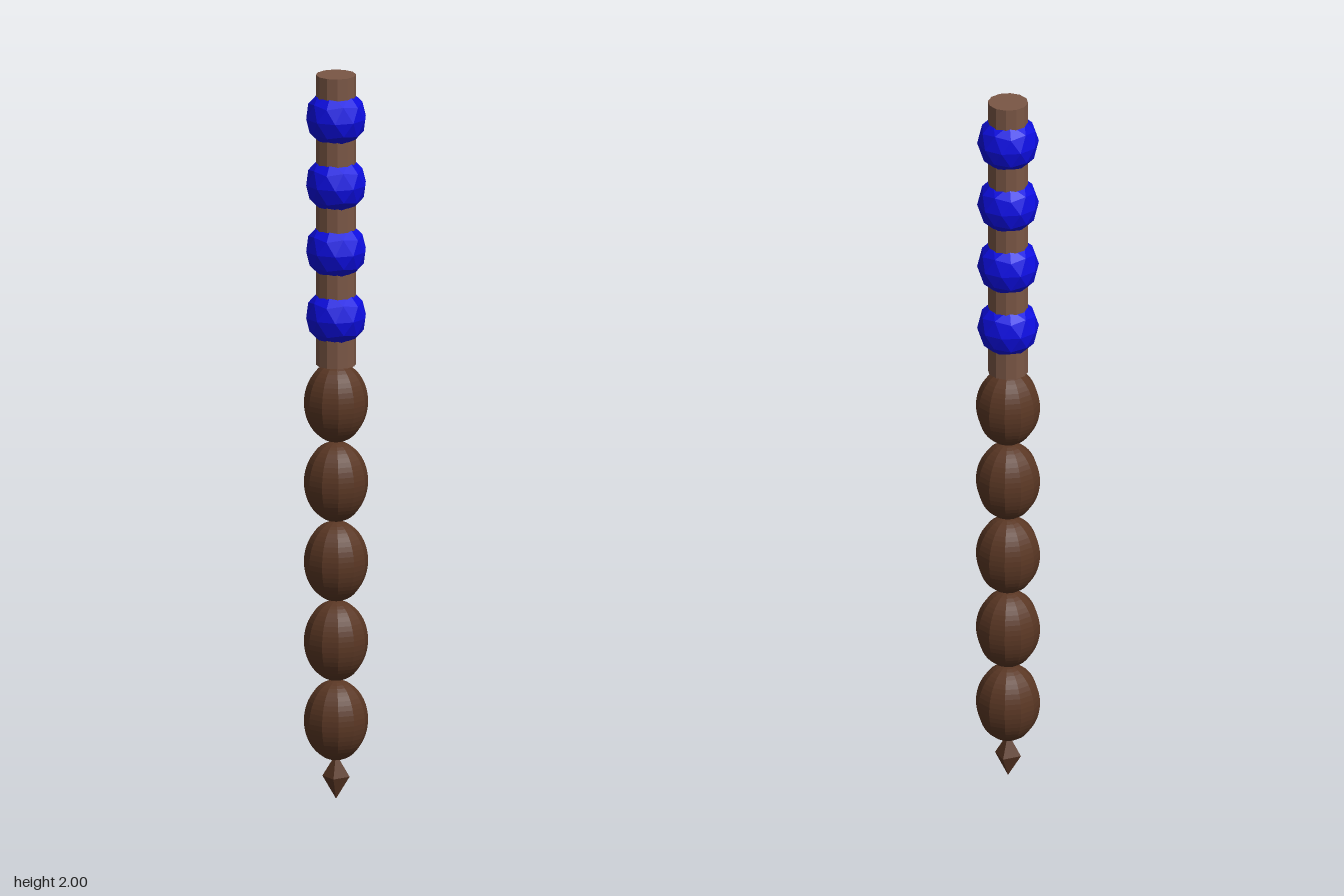
import * as THREE from 'three';

export function createModel() {
  const group = new THREE.Group();
  const material = (name, color) => {
    const m = new THREE.MeshStandardMaterial({ color, flatShading: true });
    m.name = name;
    return m;
  };
  const lightWood = material('light wood', 0x7a5645);
  const darkWood = material('dark wood', 0x5a3724);
  const blue = material('blue', 0x0d0de0);

  const add = (name, geometry, mat, y) => {
    const mesh = new THREE.Mesh(geometry, mat);
    mesh.name = name;
    mesh.position.y = y;
    group.add(mesh);
  };

  // Straight handle
  add('handle', new THREE.CylinderGeometry(0.054, 0.054, 0.8, 12), lightWood, 1.6);

  // Faceted grip beads, turned so a corner points straight up
  const bead = new THREE.IcosahedronGeometry(0.083, 1);
  bead.rotateX(-Math.atan((1 + Math.sqrt(5)) / 2));
  bead.rotateY(Math.PI / 2);
  for (let i = 0; i < 4; i++) add('gripBead' + (i + 1), bead, blue, 1.333 + i * 0.183);

  // Stacked egg-shaped shaft segments
  const egg = new THREE.SphereGeometry(1, 12, 24).scale(0.086, 0.11, 0.086);
  for (let i = 0; i < 5; i++) add('shaftSegment' + (i + 1), egg, darkWood, 0.218 + i * 0.2195);

  // Four-sided pointed tip
  const tip = new THREE.OctahedronGeometry(1, 0).rotateY(Math.PI / 4).scale(0.037, 0.062, 0.037);
  add('tip', tip, darkWood, 0.062);

  return group;
}
